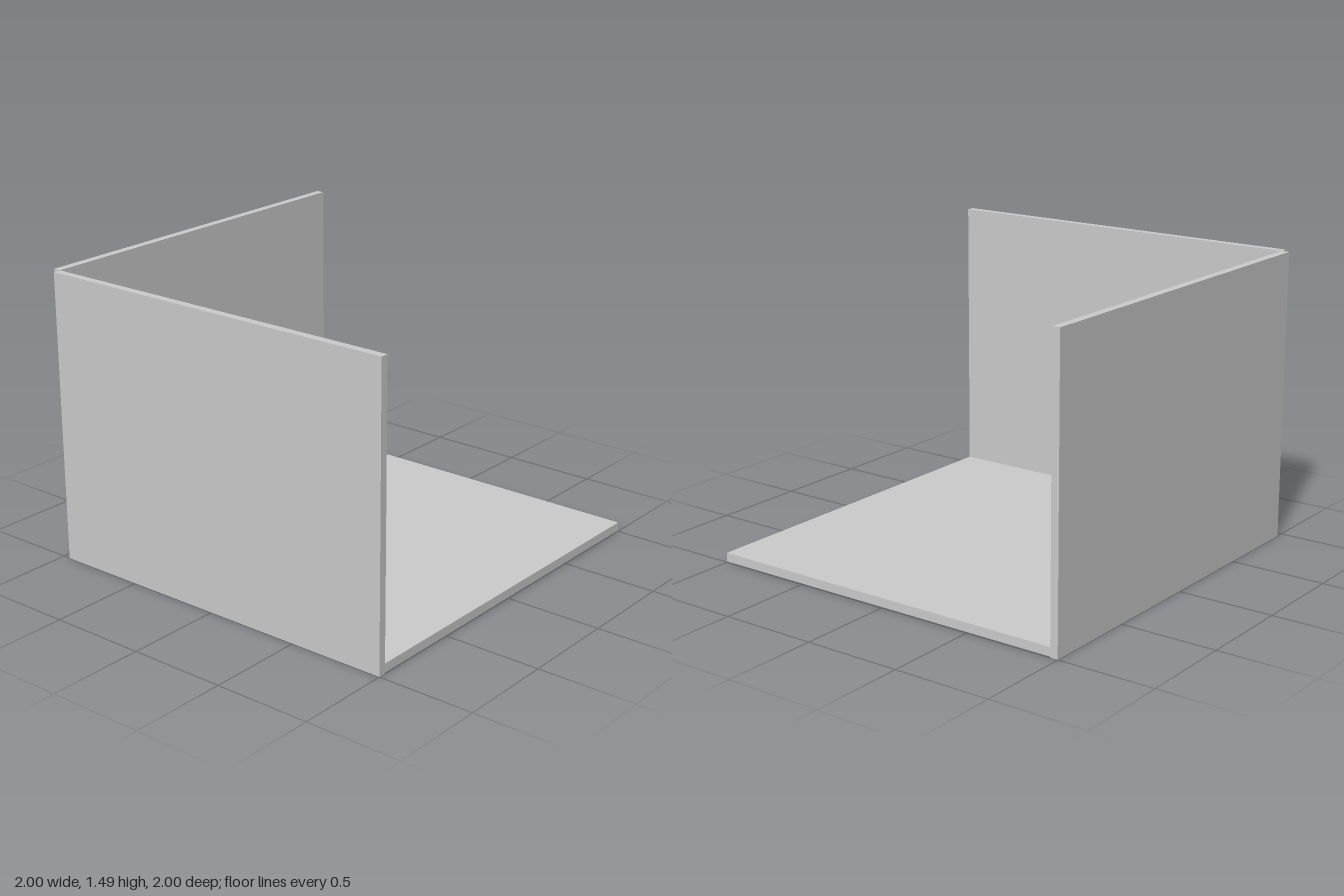
import * as THREE from 'three';

export function createModel() {
  const group = new THREE.Group();
  const material = new THREE.MeshStandardMaterial({ color: 0xcccccc });

  // Box panel given by its lower and upper corners
  function panel(name, min, max) {
    const size = max.map((v, i) => v - min[i]);
    const mesh = new THREE.Mesh(new THREE.BoxGeometry(...size), material);
    mesh.position.set(...max.map((v, i) => (v + min[i]) / 2));
    mesh.name = name;
    group.add(mesh);
  }

  const inner = -0.96; // inside faces of both walls
  const height = 1.485;

  // Floor slab sits just above the lower edge of the walls
  panel('floor', [inner, 0.005, inner], [1, 0.05, 1]);
  // Two walls meet edge to edge, leaving a small open notch at the corner
  panel('backWall', [inner, 0, -1], [1, height, inner]);
  panel('sideWall', [-1, 0, inner], [inner, height, 1]);

  return group;
}
